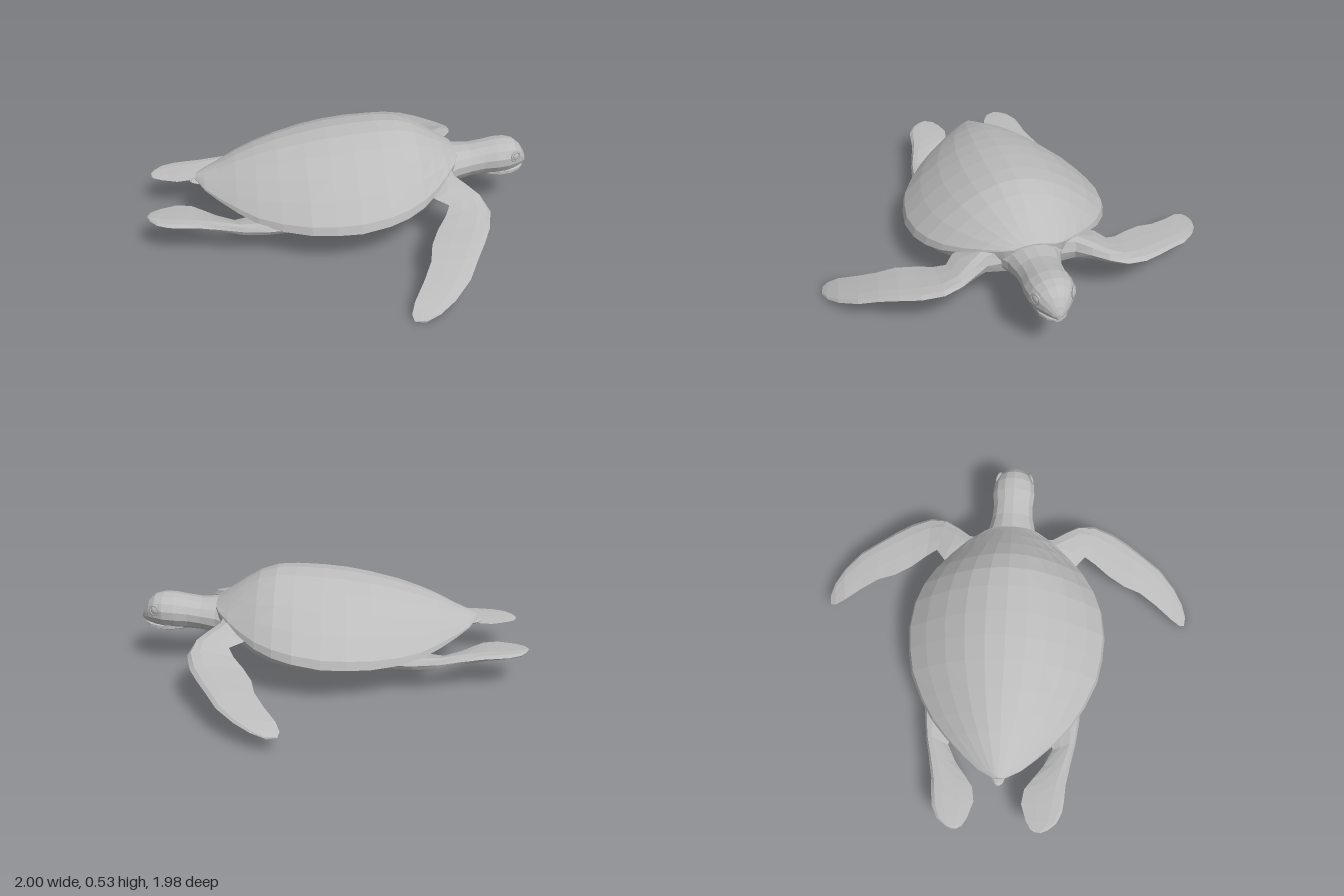
import * as THREE from 'three';

// Faceted skin through closed rings of points, capped at both ends and turned outward
function loft(rings) {
  const n = rings[0].length;
  const tris = [];
  for (let i = 0; i < rings.length - 1; i++) {
    for (let j = 0; j < n; j++) {
      const k = (j + 1) % n;
      const a = rings[i][j], b = rings[i + 1][j], c = rings[i + 1][k], d = rings[i][k];
      tris.push([a, b, c], [a, c, d]);
    }
  }
  const cap = (ring, flip) => {
    const mid = ring.reduce((s, p) => s.add(p), new THREE.Vector3()).divideScalar(n);
    for (let j = 0; j < n; j++) {
      const p = ring[j], q = ring[(j + 1) % n];
      tris.push(flip ? [mid, q, p] : [mid, p, q]);
    }
  };
  cap(rings[0], false);
  cap(rings[rings.length - 1], true);

  // A negative volume means the faces point inward
  let volume = 0;
  const cross = new THREE.Vector3();
  for (const [a, b, c] of tris) volume += a.dot(cross.crossVectors(b, c));
  const points = tris.flatMap(([a, b, c]) => (volume < 0 ? [a, c, b] : [a, b, c]));
  const geometry = new THREE.BufferGeometry().setFromPoints(points);
  geometry.computeVertexNormals();
  return geometry;
}

const V = (x, y, z) => new THREE.Vector3(x, y, z);

// Oval ring across the x axis: [x, half width, bottom y, top y]
function ovalRing([x, w, lo, hi], sides = 14) {
  return Array.from({ length: sides }, (_, i) => {
    const a = (i / sides) * Math.PI * 2;
    return V(x, (lo + hi) / 2 + (Math.cos(a) * (hi - lo)) / 2, Math.sin(a) * w);
  });
}

// Flipper blade section: [lead x, lead z, trail x, trail z, y, thickness], thickest near the lead
const BLADE = [[0, 0], [0.08, 0.42], [0.28, 0.5], [0.65, 0.3], [1, 0], [0.65, -0.3], [0.28, -0.5], [0.08, -0.42]];
function bladeRing([lx, lz, tx, tz, y, t], side) {
  return BLADE.map(([u, v]) => V(lx + (tx - lx) * u, y + v * t, side * (lz + (tz - lz) * u)));
}

// Body stations: [x, half width, rim y, shell top y, belly bottom y]
const BODY = [
  [-0.755, 0.03, 0.275, 0.295, 0.262],
  [-0.71, 0.11, 0.255, 0.315, 0.235],
  [-0.64, 0.19, 0.235, 0.345, 0.212],
  [-0.55, 0.28, 0.212, 0.39, 0.18],
  [-0.45, 0.365, 0.19, 0.43, 0.15],
  [-0.34, 0.43, 0.182, 0.465, 0.122],
  [-0.2, 0.492, 0.185, 0.498, 0.096],
  [-0.08, 0.515, 0.19, 0.52, 0.08],
  [0.04, 0.525, 0.197, 0.533, 0.073],
  [0.18, 0.505, 0.215, 0.54, 0.07],
  [0.28, 0.465, 0.23, 0.537, 0.078],
  [0.37, 0.405, 0.25, 0.51, 0.1],
  [0.45, 0.325, 0.28, 0.465, 0.135],
  [0.52, 0.24, 0.315, 0.42, 0.165],
  [0.575, 0.15, 0.34, 0.383, 0.185],
  [0.595, 0.1, 0.352, 0.37, 0.2],
];
// Half outlines of the shell dome and the belly: [fraction of width, fraction of height]
const DOME = [[1, 0], [0.975, 0.13], [0.8, 0.4], [0.6, 0.65], [0.4, 0.84], [0.2, 0.96], [0, 1]];
const KEEL = [[0.975, 0.0], [0.9, 0.3], [0.7, 0.62], [0.4, 0.87], [0, 1]];
function arch(half, x, w, y0, y1) {
  const full = [...half, ...half.slice(0, -1).reverse().map(([u, v]) => [-u, v])];
  return full.map(([u, v]) => V(x, y0 + (y1 - y0) * v, u * w));
}

// Neck and skull stations
const HEAD = [
  [0.44, 0.2, 0.15, 0.36],
  [0.53, 0.17, 0.165, 0.365],
  [0.6, 0.132, 0.18, 0.366],
  [0.68, 0.113, 0.197, 0.364],
  [0.75, 0.108, 0.203, 0.376],
  [0.82, 0.116, 0.205, 0.389],
  [0.88, 0.11, 0.208, 0.392],
  [0.925, 0.09, 0.217, 0.382],
  [0.96, 0.062, 0.228, 0.352],
  [0.985, 0.034, 0.24, 0.31],
  [0.998, 0.01, 0.25, 0.275],
];
const JAW = [
  [0.78, 0.07, 0.2, 0.25],
  [0.85, 0.083, 0.194, 0.25],
  [0.91, 0.072, 0.196, 0.247],
  [0.955, 0.048, 0.206, 0.244],
  [0.982, 0.018, 0.222, 0.24],
];
const TAIL = [
  [-0.56, 0.06, 0.18, 0.25],
  [-0.68, 0.04, 0.222, 0.26],
  [-0.75, 0.032, 0.24, 0.264],
  [-0.775, 0.022, 0.246, 0.262],
  [-0.787, 0.006, 0.25, 0.257],
];

// Front flippers; the two sides hang at different heights
const FRONT = [
  [0.56, 0.1, 0.34, 0.14, 0.16],
  [0.57, 0.22, 0.38, 0.27, 0.11],
  [0.62, 0.285, 0.43, 0.36, 0.075],
  [0.668, 0.36, 0.49, 0.405, 0.055],
  [0.688, 0.45, 0.462, 0.46, 0.042],
  [0.66, 0.555, 0.405, 0.54, 0.036],
  [0.61, 0.65, 0.358, 0.63, 0.032],
  [0.555, 0.74, 0.335, 0.72, 0.03],
  [0.498, 0.835, 0.285, 0.81, 0.026],
  [0.41, 0.92, 0.222, 0.905, 0.022],
  [0.33, 0.97, 0.2, 0.955, 0.016],
  [0.265, 0.99, 0.208, 0.983, 0.01],
];
const LEVEL = {
  [1]: [0.26, 0.265, 0.262, 0.25, 0.228, 0.202, 0.178, 0.148, 0.108, 0.062, 0.03, 0.012],
  [-1]: [0.26, 0.265, 0.265, 0.255, 0.232, 0.208, 0.19, 0.172, 0.148, 0.122, 0.1, 0.085],
};
const REAR = [
  [-0.22, 0.4, -0.36, 0.22, 0.17, 0.05],
  [-0.4, 0.405, -0.47, 0.24, 0.168, 0.055],
  [-0.53, 0.388, -0.57, 0.27, 0.168, 0.05],
  [-0.64, 0.364, -0.66, 0.225, 0.175, 0.044],
  [-0.75, 0.342, -0.73, 0.172, 0.18, 0.036],
  [-0.83, 0.336, -0.785, 0.132, 0.183, 0.03],
  [-0.89, 0.328, -0.86, 0.12, 0.184, 0.026],
  [-0.95, 0.3, -0.94, 0.146, 0.185, 0.022],
  [-0.985, 0.258, -0.985, 0.172, 0.185, 0.016],
  [-1.0, 0.225, -0.998, 0.196, 0.185, 0.01],
];

export function createModel() {
  const turtle = new THREE.Group();
  turtle.name = 'seaTurtle';
  const grey = new THREE.MeshStandardMaterial({ color: 0xbcbcbc });
  grey.name = 'plain grey';

  const add = (name, geometry) => {
    const mesh = new THREE.Mesh(geometry, grey);
    mesh.name = name;
    turtle.add(mesh);
    return mesh;
  };

  // Shell, belly, head and tail
  add('shell', loft(BODY.map(([x, w, rim, top]) => arch(DOME, x, w, rim, top))));
  add('belly', loft(BODY.map(([x, w, rim, , low]) => arch(KEEL, x, w * 0.99, rim + 0.004, low))));
  add('headAndNeck', loft(HEAD.map((s) => ovalRing(s))));
  add('lowerJaw', loft(JAW.map((s) => ovalRing(s, 10))));
  add('tail', loft(TAIL.map((s) => ovalRing(s, 8))));

  for (const side of [1, -1]) {
    const label = side > 0 ? 'left' : 'right';

    // Flippers
    const front = FRONT.map(([lx, lz, tx, tz, t], i) => bladeRing([lx, lz, tx, tz, LEVEL[side][i], t], side));
    add(label + 'FrontFlipper', loft(front));
    add(label + 'RearFlipper', loft(REAR.map((s) => bladeRing(s, side))));

    // Eyeball with a raised lid around it
    const eye = add(label + 'Eye', new THREE.SphereGeometry(0.022, 10, 8));
    const lid = add(label + 'Eyelid', new THREE.TorusGeometry(0.026, 0.007, 5, 12));
    for (const part of [eye, lid]) {
      part.position.set(0.918, 0.322, side * 0.088);
      part.rotation.y = side > 0 ? 0.45 : Math.PI - 0.45;
    }
    eye.scale.z = 0.5;
  }
  return turtle;
}
